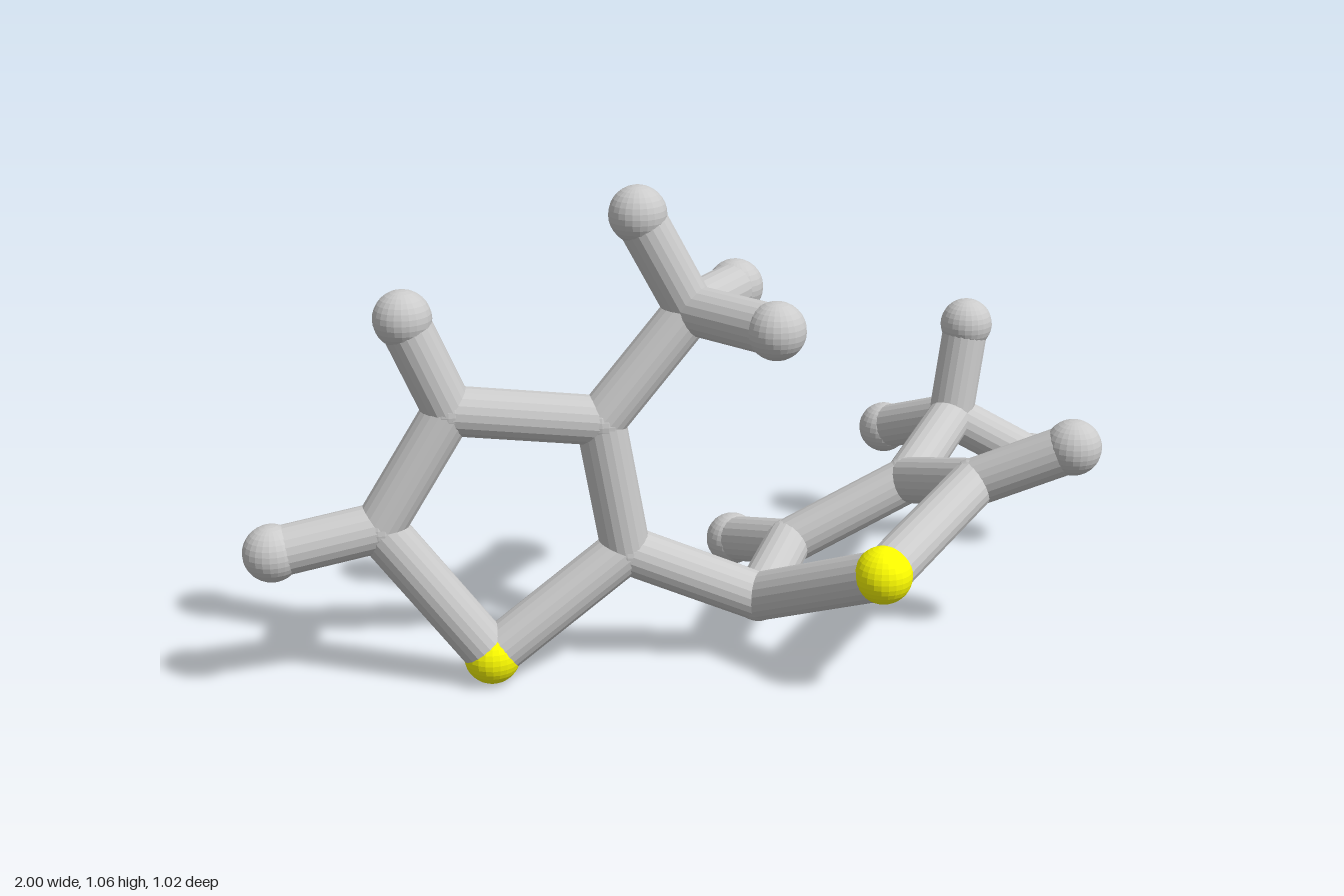
import * as THREE from 'three';

const BALL = 0.061, BOND = 0.053;

// Atom centres: two five-sided rings, each with a methyl branch
const atoms = {
  sulfurA: [-0.5, 0.063, 0.063],
  carbonA2: [-0.203, 0.272, 0.085],
  carbonA3: [-0.255, 0.57, 0.083],
  carbonA4: [-0.565, 0.61, 0.02],
  carbonA5: [-0.718, 0.365, 0.0],
  hydrogenA4: [-0.65, 0.812, 0.004],
  hydrogenA5: [-0.939, 0.33, -0.027],
  methylA: [-0.06, 0.797, 0.102],
  methylHydrogenA1: [-0.167, 1.005, 0.08],
  methylHydrogenA2: [0.046, 0.797, 0.312],
  methylHydrogenA3: [0.108, 0.787, -0.063],
  sulfurB: [0.233, 0.289, 0.45],
  carbonB2: [0.08, 0.143, 0.148],
  carbonB3: [0.25, 0.158, -0.083],
  carbonB4: [0.515, 0.298, -0.015],
  carbonB5: [0.547, 0.38, 0.247],
  hydrogenB3: [0.197, 0.097, -0.292],
  hydrogenB5: [0.716, 0.48, 0.37],
  methylB: [0.745, 0.352, -0.245],
  methylHydrogenB1: [0.788, 0.573, -0.265],
  methylHydrogenB2: [0.668, 0.267, -0.45],
  methylHydrogenB3: [0.938, 0.237, -0.187],
};

const bonds = [
  ['carbonA2', 'carbonB2'],
];
for (const s of ['A', 'B']) {
  // ring
  const ring = ['sulfur' + s, 'carbon' + s + 2, 'carbon' + s + 3, 'carbon' + s + 4, 'carbon' + s + 5];
  ring.forEach((name, i) => bonds.push([name, ring[(i + 1) % 5]]));
  // methyl branch
  bonds.push(['carbon' + s + (s === 'A' ? 3 : 4), 'methyl' + s]);
  for (let i = 1; i <= 3; i++) bonds.push(['methyl' + s, 'methylHydrogen' + s + i]);
  // single hydrogens
  for (const n of s === 'A' ? [4, 5] : [3, 5]) bonds.push(['carbon' + s + n, 'hydrogen' + s + n]);
}

export function createModel() {
  const model = new THREE.Group();
  model.name = 'moleculeModel';
  const grey = new THREE.MeshStandardMaterial({ color: 0xcccccc, flatShading: true });
  const yellow = new THREE.MeshStandardMaterial({ color: 0xffff00, flatShading: true });
  const ball = new THREE.SphereGeometry(BALL, 24, 16);
  const joint = new THREE.SphereGeometry(BOND + 0.001, 24, 16);
  const rod = new THREE.CylinderGeometry(BOND, BOND, 1, 20, 1);
  const up = new THREE.Vector3(0, 1, 0);

  // Atoms: full balls at the tips, flush joints inside the frame
  for (const [name, p] of Object.entries(atoms)) {
    const isJoint = /^(carbon|methyl[AB])/.test(name);
    const mesh = new THREE.Mesh(isJoint ? joint : ball, name.startsWith('sulfur') ? yellow : grey);
    mesh.name = name;
    mesh.position.set(...p);
    model.add(mesh);
  }

  // Bonds: one rod between each pair of atoms
  for (const [from, to] of bonds) {
    const a = new THREE.Vector3(...atoms[from]);
    const b = new THREE.Vector3(...atoms[to]);
    const dir = b.clone().sub(a);
    const mesh = new THREE.Mesh(rod, grey);
    mesh.name = 'bond_' + from + '_' + to;
    mesh.scale.y = dir.length();
    mesh.position.copy(a).add(b).multiplyScalar(0.5);
    mesh.quaternion.setFromUnitVectors(up, dir.normalize());
    model.add(mesh);
  }
  return model;
}
